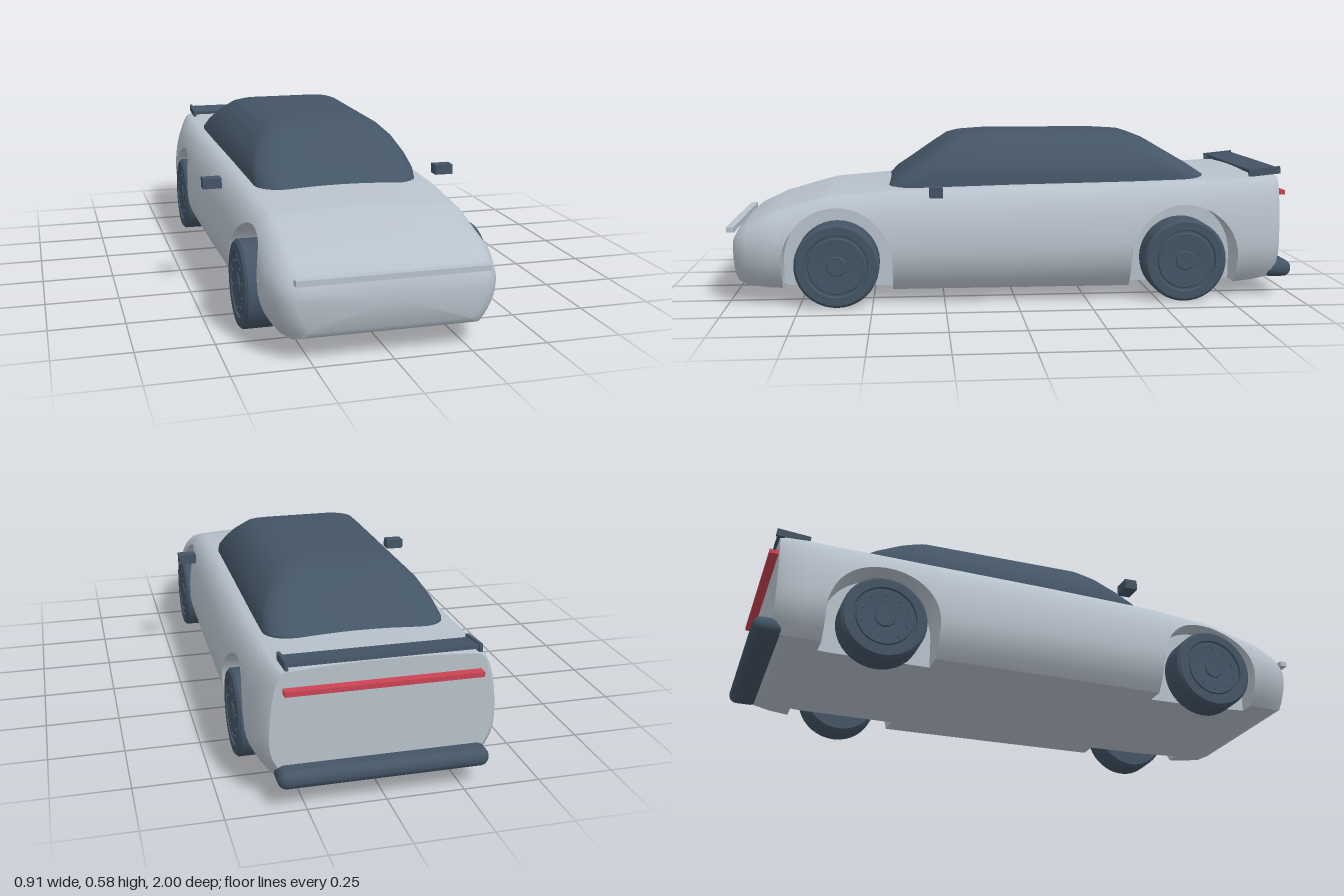
import * as THREE from 'three';
import { toCreasedNormals, mergeVertices } from 'three/addons/utils/BufferGeometryUtils.js';
import { RoundedBoxGeometry } from 'three/addons/geometries/RoundedBoxGeometry.js';

const paint = new THREE.MeshStandardMaterial({ color: 0xb8c2cc });
paint.name = 'silver paint';
const dark = new THREE.MeshStandardMaterial({ color: 0x445566 });
dark.name = 'dark slate';
const red = new THREE.MeshStandardMaterial({ color: 0xcc4455 });
red.name = 'tail light red';

// Closed skin over rings of points; rings run anticlockwise seen from outside the first one.
function loft(rings, crease) {
  const pos = [];
  const n = rings[0].length;
  const tri = (a, b, c) => {
    const area = b.clone().sub(a).cross(c.clone().sub(a)).length();
    if (area > 1e-8) for (const p of [a, b, c]) pos.push(p.x, p.y, p.z);
  };
  const centre = (r) => r.reduce((s, p) => s.add(p), new THREE.Vector3()).divideScalar(n);
  const first = rings[0], last = rings[rings.length - 1];
  const c0 = centre(first), c1 = centre(last);
  for (let i = 0; i < n; i++) {
    const j = (i + 1) % n;
    tri(c0, first[i], first[j]);
    tri(c1, last[j], last[i]);
    for (let k = 0; k + 1 < rings.length; k++) {
      const a = rings[k], b = rings[k + 1];
      tri(a[i], b[i], b[j]);
      tri(a[i], b[j], a[j]);
    }
  }
  const g = new THREE.BufferGeometry();
  g.setAttribute('position', new THREE.Float32BufferAttribute(pos, 3));
  return toCreasedNormals(mergeVertices(g), crease);
}

// Body stations: z, half width, bottom, top, shoulder half width
const stations = [
  [0.98, 0.295, 0.10, 0.24, 0.25],
  [0.965, 0.325, 0.08, 0.268, 0.265],
  [0.93, 0.35, 0.066, 0.298, 0.28],
  [0.85, 0.375, 0.06, 0.335, 0.285],
  [0.66, 0.385, 0.052, 0.388, 0.29],
  [0.42, 0.395, 0.05, 0.407, 0.30],
  [0, 0.402, 0.05, 0.418, 0.305],
  [-0.4, 0.405, 0.05, 0.425, 0.31],
  [-0.75, 0.40, 0.052, 0.435, 0.31],
  [-0.85, 0.39, 0.06, 0.44, 0.31],
  [-0.92, 0.37, 0.07, 0.442, 0.305],
  [-0.94, 0.352, 0.085, 0.44, 0.30],
];
const wheelZ = [0.62, -0.59];
const archY = 0.15, archR = 0.19;

function stationAt(z) {
  let k = 0;
  while (k < stations.length - 2 && z < stations[k + 1][0]) k++;
  const a = stations[k], b = stations[k + 1];
  const t = (z - a[0]) / (b[0] - a[0]);
  return a.map((v, i) => v + (b[i] - v) * t);
}

// Cross-section whose side panel starts at edgeY, leaving a wheel well below it
function bodySection(z, edgeY = 0) {
  const [, w, bottom, top, shoulder] = stationAt(z);
  const waist = 0.2, crown = 0.012, sideTop = top - crown;
  const widthAt = (y) => {
    if (y < waist) return w * (1 - 0.15 * ((waist - y) / (waist - bottom)) ** 2.2);
    const u = Math.min(1, (y - waist) / (sideTop - waist));
    return shoulder + (w - shoulder) * Math.sqrt(1 - u * u);
  };
  const edge = Math.max(bottom, edgeY);
  const inner = Math.min(0.27, widthAt(bottom) - 0.01);
  const half = [[0, bottom], [inner, bottom], [inner, edge]];
  for (let i = 0; i <= 16; i++) {
    const y = edge + (sideTop - edge) * Math.sin((i / 16) * Math.PI / 2);
    half.push([widthAt(y), y]);
  }
  for (let i = 5; i >= 0; i--) {
    const f = i / 6;
    half.push([shoulder * f, top - crown * f * f]);
  }
  const mirrored = half.slice(1, -1).reverse().map(([x, y]) => [-x, y]);
  return [...half, ...mirrored].map(([x, y]) => new THREE.Vector3(x, y, z));
}

function bodyGeometry() {
  const cuts = [];
  for (const [z] of stations) {
    if (wheelZ.every((c) => Math.abs(z - c) > archR)) cuts.push([z, 0, 0]);
  }
  for (const c of wheelZ) {
    cuts.push([c + archR, 0, 0]);
    for (let i = 0; i <= 20; i++) {
      const a = (i / 20) * Math.PI;
      cuts.push([c + archR * Math.cos(a), archY + archR * Math.sin(a), 1]);
    }
    cuts.push([c - archR, 0, 2]);
  }
  cuts.sort((a, b) => (Math.abs(a[0] - b[0]) > 1e-9 ? b[0] - a[0] : a[2] - b[2]));
  return loft(cuts.map(([z, y]) => bodySection(z, y)), 0.65);
}

// Cabin layers from roof to base: y, half width, front z, back z
function cabinGeometry() {
  const layers = [
    [0.584, 0.07, 0.02, -0.24],
    [0.580, 0.13, 0.12, -0.35],
    [0.572, 0.18, 0.19, -0.44],
    [0.560, 0.212, 0.228, -0.478],
    [0.520, 0.256, 0.285, -0.545],
    [0.470, 0.287, 0.355, -0.63],
    [0.430, 0.30, 0.415, -0.69],
    [0.385, 0.302, 0.455, -0.70],
  ];
  const sx = [1, -1, -1, 1], sz = [-1, -1, 1, 1];
  const rings = layers.map(([y, w, front, back]) => {
    const r = w * 0.33, mid = (front + back) / 2, len = (front - back) / 2;
    const ring = [];
    for (let q = 0; q < 4; q++) {
      for (let i = 0; i <= 6; i++) {
        const a = (q + i / 6) * Math.PI / 2;
        const z = mid + sz[q] * (len - r) - r * Math.sin(a);
        const x = sx[q] * (w - r) + r * Math.cos(a);
        ring.push(new THREE.Vector3(x * (1 - 0.06 * Math.max(0, z) / 0.45), y, z));
      }
    }
    return ring;
  });
  return loft(rings, 0.6);
}

// Tyre and dished rim turned from one profile, outer face at +y
function wheelGeometry() {
  const profile = [
    [0, -0.055], [0.136, -0.055], [0.145, -0.046], [0.145, 0.046], [0.136, 0.055],
    [0.108, 0.055], [0.105, 0.048], [0.098, 0.048], [0.095, 0.053],
    [0.035, 0.050], [0.032, 0.054], [0, 0.054],
  ].map(([x, y]) => new THREE.Vector2(x, y));
  return toCreasedNormals(new THREE.LatheGeometry(profile, 40), 0.5);
}

export function createModel() {
  const car = new THREE.Group();
  car.name = 'sportsCar';
  const add = (name, geometry, material, x = 0, y = 0, z = 0, parent = car) => {
    const mesh = new THREE.Mesh(geometry, material);
    mesh.name = name;
    mesh.position.set(x, y, z);
    parent.add(mesh);
    return mesh;
  };
  const box = (w, h, d) => new THREE.BoxGeometry(w, h, d);

  add('body', bodyGeometry(), paint);
  add('cabin', cabinGeometry(), dark);

  // Wheels with a ring of lug nuts
  const tyre = wheelGeometry();
  const lug = new THREE.CylinderGeometry(0.005, 0.005, 0.006, 8);
  for (const side of [1, -1]) {
    wheelZ.forEach((z, i) => {
      const wheel = new THREE.Group();
      wheel.name = (i ? 'rear' : 'front') + (side > 0 ? 'Left' : 'Right') + 'Wheel';
      wheel.position.set(side * 0.35, 0.146, z);
      wheel.rotation.z = -side * Math.PI / 2;
      add('tyreAndRim', tyre, dark, 0, 0, 0, wheel);
      for (let k = 0; k < 10; k++) {
        const a = (k / 10) * Math.PI * 2;
        add('lugNut', lug, dark, 0.08 * Math.cos(a), 0.053, 0.08 * Math.sin(a), wheel);
      }
      car.add(wheel);
    });
    const name = side > 0 ? 'left' : 'right';
    add(name + 'Mirror', box(0.065, 0.035, 0.045), dark, side * 0.4225, 0.401, 0.28);
    add(name + 'SpoilerEnd', box(0.01, 0.026, 0.115), dark, side * 0.3, 0.445, -0.895).rotation.x = 0.1;
  }

  // Tail spoiler, light bars and rear bumper
  add('spoilerBlade', box(0.6, 0.012, 0.095), dark, 0, 0.447, -0.9).rotation.x = 0.12;
  add('headlightBar', box(0.61, 0.018, 0.026), paint, 0, 0.262, 0.987);
  add('tailLightBar', box(0.62, 0.016, 0.032), red, 0, 0.37, -0.954);
  add('rearBumper', new RoundedBoxGeometry(0.67, 0.06, 0.105, 6, 0.029), dark, 0, 0.095, -0.9475);
  return car;
}
